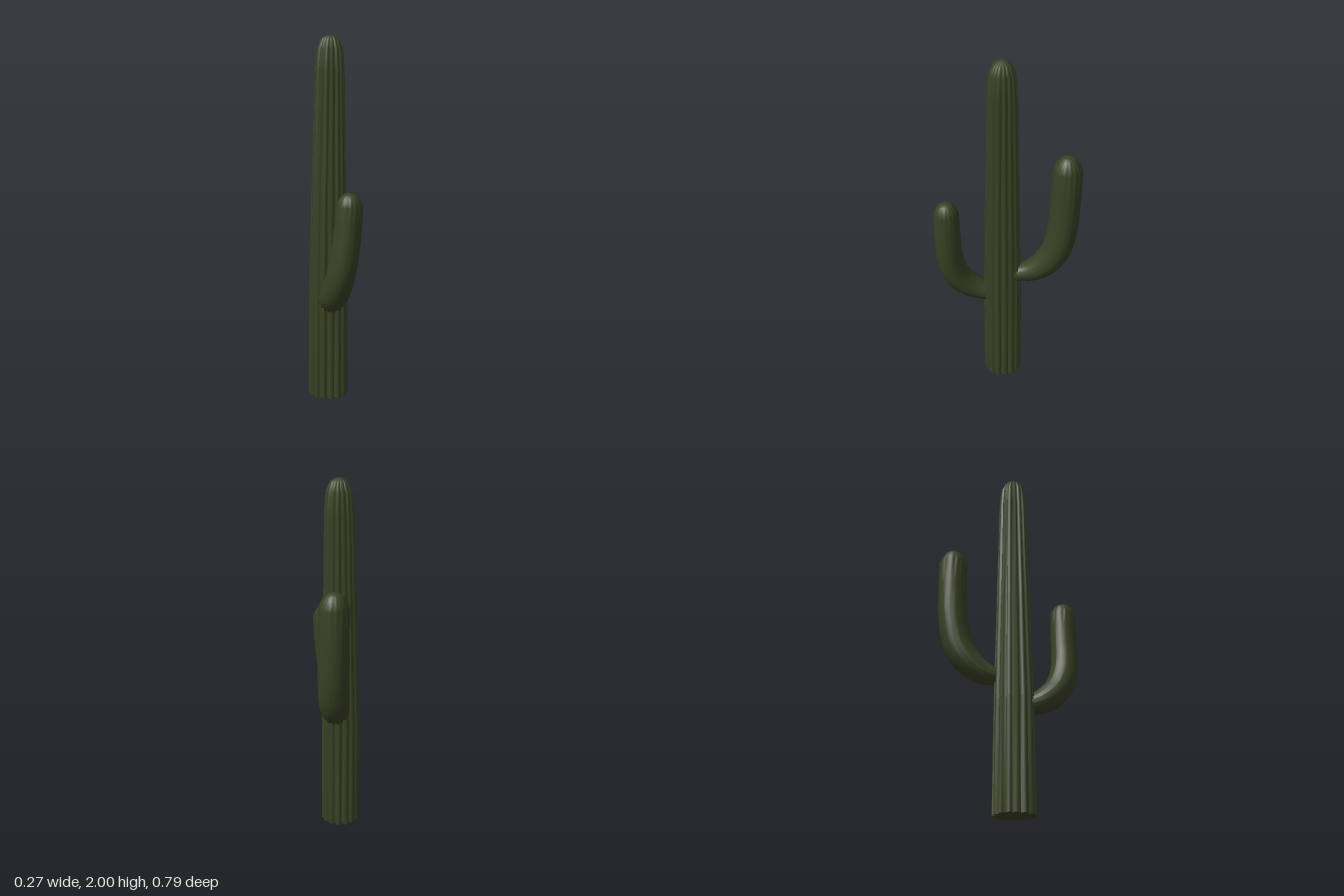
import * as THREE from 'three';

const skin = new THREE.MeshStandardMaterial({ color: 0x3a4124 });
skin.name = 'dark olive skin';

// Ribbed cross-section: unit radii around the ring, repeated for every rib
function ribProfile(ribs, tooth) {
  const profile = [];
  for (let i = 0; i < ribs; i++) {
    for (const [t, depth] of tooth) {
      profile.push({ angle: ((i + t) / ribs) * Math.PI * 2, depth });
    }
  }
  return profile;
}
const trunkRibs = ribProfile(15, [[0, 0.2], [0.2, 0.03], [0.5, 0], [0.8, 0.03]]);
const armRibs = ribProfile(16, [[0, 0.17], [0.5, 0]]);

// Sweeps a ribbed section along stations of [x, y, z, radius, rib strength]
function ribbedStem(name, stations, profile, steps) {
  const curve = new THREE.CatmullRomCurve3(
    stations.map(([x, y, z]) => new THREE.Vector3(x, y, z)));
  const count = (stations.length - 1) * steps;
  const ring = profile.length;
  const normal = new THREE.Vector3(1, 0, 0);
  const positions = [];
  const index = [];
  for (let i = 0; i <= count; i++) {
    const s = Math.min(Math.floor(i / steps), stations.length - 2);
    const f = i / steps - s;
    const radius = THREE.MathUtils.lerp(stations[s][3], stations[s + 1][3], f);
    const strength = THREE.MathUtils.lerp(stations[s][4], stations[s + 1][4], f);
    const centre = curve.getPoint(i / count);
    const tangent = curve.getTangent(i / count);
    normal.addScaledVector(tangent, -normal.dot(tangent)).normalize();
    const side = new THREE.Vector3().crossVectors(tangent, normal);
    for (const { angle, depth } of profile) {
      const r = radius * (1 - depth * strength);
      const p = centre.clone()
        .addScaledVector(normal, Math.cos(angle) * r)
        .addScaledVector(side, Math.sin(angle) * r);
      positions.push(p.x, p.y, p.z);
    }
  }
  for (let i = 0; i < count; i++) {
    for (let j = 0; j < ring; j++) {
      const k = (j + 1) % ring;
      const a = i * ring + j, b = i * ring + k;
      index.push(a, b, b + ring, a, b + ring, a + ring);
    }
  }
  const geometry = new THREE.BufferGeometry();
  geometry.setAttribute('position', new THREE.Float32BufferAttribute(positions, 3));
  geometry.setIndex(index);
  geometry.computeVertexNormals();
  const mesh = new THREE.Mesh(geometry, skin);
  mesh.name = name;
  return mesh;
}

export function createModel() {
  const cactus = new THREE.Group();
  cactus.name = 'cactus';

  // Tapering trunk with a rounded top
  cactus.add(ribbedStem('trunk', [
    [-0.022, 0, 0.03, 0.113, 1],
    [-0.022, 0.6, 0.03, 0.108, 1],
    [-0.018, 1.2, 0.029, 0.094, 1],
    [-0.013, 1.82, 0.027, 0.079, 1],
    [-0.012, 1.93, 0.027, 0.069, 0.8],
    [-0.011, 1.98, 0.027, 0.047, 0.5],
    [-0.01, 1.995, 0.027, 0.022, 0.1],
    [-0.01, 2, 0.027, 0.001, 0],
  ], trunkRibs, 1));

  // Closed underside of the trunk
  const outline = trunkRibs.map(({ angle, depth }) => new THREE.Vector2(
    Math.cos(angle) * (1 - depth) * 0.113, -Math.sin(angle) * (1 - depth) * 0.113));
  const base = new THREE.Mesh(
    new THREE.ShapeGeometry(new THREE.Shape(outline)).rotateX(Math.PI / 2), skin);
  base.position.set(-0.022, 0, 0.03);
  base.name = 'trunkBase';
  cactus.add(base);

  // Short arm curving out of the front
  cactus.add(ribbedStem('frontArm', [
    [-0.018, 0.575, 0.06, 0.045, 1],
    [-0.019, 0.585, 0.13, 0.056, 1],
    [-0.016, 0.625, 0.212, 0.072, 1],
    [0.005, 0.7, 0.28, 0.076, 1],
    [0.03, 0.82, 0.318, 0.076, 1],
    [0.053, 0.98, 0.324, 0.073, 1],
    [0.065, 1.165, 0.325, 0.07, 1],
    [0.065, 1.208, 0.325, 0.048, 0.7],
    [0.065, 1.225, 0.325, 0.026, 0.2],
    [0.065, 1.23, 0.325, 0.001, 0],
  ], armRibs, 2));

  // Tall arm curving out of the back
  cactus.add(ribbedStem('backArm', [
    [0, 0.735, 0, 0.04, 1],
    [0, 0.74, -0.07, 0.05, 1],
    [0.004, 0.765, -0.145, 0.066, 1],
    [0.01, 0.83, -0.22, 0.079, 1],
    [0.016, 0.93, -0.275, 0.083, 1],
    [0.018, 1.12, -0.305, 0.083, 1],
    [0.017, 1.42, -0.311, 0.08, 1],
    [0.016, 1.47, -0.311, 0.056, 0.7],
    [0.016, 1.495, -0.31, 0.03, 0.2],
    [0.016, 1.502, -0.31, 0.001, 0],
  ], armRibs, 2));

  return cactus;
}
